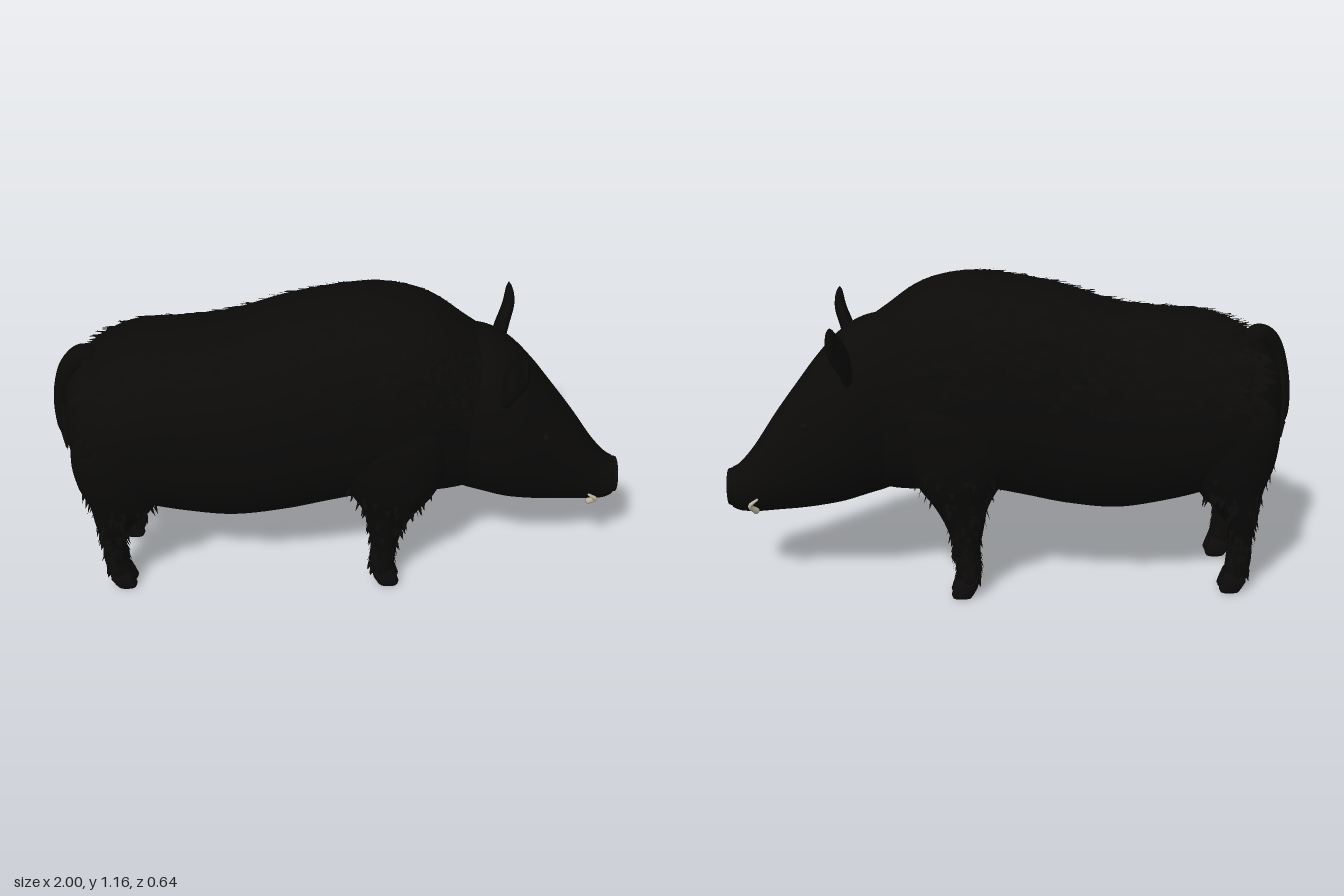
import * as THREE from 'three';

const V = (x, y, z) => new THREE.Vector3(x, y, z);
const fur = new THREE.MeshStandardMaterial({ color: 0x0b0a09 });
const furCards = new THREE.MeshStandardMaterial({ color: 0x0b0a09, side: THREE.DoubleSide });
const skin = new THREE.MeshStandardMaterial({ color: 0x0d0b0b });
const horn = new THREE.MeshStandardMaterial({ color: 0xc9c2ac });

let seed = 7;
const rand = () => (seed = (seed * 16807) % 2147483647) / 2147483647;

// Catmull-Rom sample of a table of rows, at f in 0..1
function sample(rows, f) {
  const k = f * (rows.length - 1), i = Math.min(Math.floor(k), rows.length - 2), t = k - i;
  const at = (j) => rows[Math.max(0, Math.min(rows.length - 1, j))];
  const [a, b, c, d] = [at(i - 1), at(i), at(i + 1), at(i + 2)];
  return b.map((_, n) => b[n] + 0.5 * t * (c[n] - a[n] + t * (2 * a[n] - 5 * b[n] + 4 * c[n] - d[n]
    + t * (3 * (b[n] - c[n]) + d[n] - a[n]))));
}

// point on a superellipse section { c, u, v }
function onSection({ c, u, v }, t, e) {
  const p = (w) => Math.sign(w) * Math.abs(w) ** (2 / e);
  return c.clone().addScaledVector(u, p(Math.cos(t))).addScaledVector(v, p(Math.sin(t)));
}

// closed skin through sections, u x v pointing along the path
function loft(sections, n = 24, e = 2) {
  const pos = [], idx = [], m = sections.length;
  for (const s of sections)
    for (let j = 0; j < n; j++) pos.push(...onSection(s, (j / n) * Math.PI * 2, e).toArray());
  for (let i = 0; i < m - 1; i++)
    for (let j = 0; j < n; j++) {
      const a = i * n + j, b = i * n + ((j + 1) % n);
      idx.push(a, b, a + n, b, b + n, a + n);
    }
  pos.push(...sections[0].c.toArray(), ...sections[m - 1].c.toArray());
  for (let j = 0; j < n; j++) {
    const k = (j + 1) % n, l = (m - 1) * n;
    idx.push(m * n, k, j, m * n + 1, l + j, l + k);
  }
  const g = new THREE.BufferGeometry();
  g.setAttribute('position', new THREE.Float32BufferAttribute(pos, 3));
  g.setIndex(idx);
  g.computeVertexNormals();
  return g;
}

// row [x, top, bottom, halfWidth] -> section across x
const trunkSection = ([x, top, bot, w]) => ({ c: V(x, (top + bot) / 2, 0), u: V(0, (top - bot) / 2, 0), v: V(0, 0, w) });
// row [y, x0, x1, z0, z1] -> level section of a leg on side s
const legSection = ([y, x0, x1, z0, z1], s) => ({
  c: V((x0 + x1) / 2, y, s * (z0 + z1) / 2), u: V((x1 - x0) / 2, 0, 0), v: V(0, 0, (z1 - z0) / 2),
});
const resample = (rows, n, fn) => Array.from({ length: n + 1 }, (_, i) => fn(sample(rows, i / n)));

// tapered tube through points; radius(f), flattened along the side direction
function horned(points, radius, side, flat = 1, n = 16) {
  const curve = new THREE.CatmullRomCurve3(points), out = [];
  for (let i = 0; i <= n; i++) {
    const d = curve.getTangent(i / n), r = radius(i / n);
    const u = side.clone().addScaledVector(d, -side.dot(d)).normalize();
    out.push({ c: curve.getPoint(i / n), u: u.clone().multiplyScalar(r * flat), v: d.clone().cross(u).multiplyScalar(r) });
  }
  return loft(out, 12);
}

// shaggy triangles from a function giving [root, outward normal]
function tufts(count, place, length, sweep) {
  const pos = [];
  for (let i = 0; i < count; i++) {
    const [p, nrm] = place();
    const across = nrm.clone().cross(sweep).normalize().multiplyScalar(length * (0.25 + 0.2 * rand()));
    const tip = p.clone().addScaledVector(sweep, length * (0.7 + 0.6 * rand())).addScaledVector(nrm, length * (0.2 + 0.2 * rand()));
    pos.push(...p.clone().add(across).toArray(), ...p.clone().sub(across).toArray(), ...tip.toArray());
  }
  const g = new THREE.BufferGeometry();
  g.setAttribute('position', new THREE.Float32BufferAttribute(pos, 3));
  g.computeVertexNormals();
  return g;
}

const BODY = [
  [-0.955, 0.76, 0.58, 0.07], [-0.94, 0.83, 0.52, 0.14], [-0.9, 0.89, 0.45, 0.215], [-0.82, 0.95, 0.41, 0.28],
  [-0.7, 1.0, 0.375, 0.303], [-0.55, 1.015, 0.335, 0.302], [-0.38, 1.04, 0.31, 0.3], [-0.2, 1.1, 0.33, 0.3],
  [-0.05, 1.135, 0.365, 0.298], [0.1, 1.155, 0.395, 0.29], [0.22, 1.145, 0.395, 0.275], [0.32, 1.11, 0.385, 0.245],
  [0.42, 1.04, 0.39, 0.208], [0.52, 0.97, 0.42, 0.18],
];
const HEAD = [
  [0.37, 1.0, 0.42, 0.17], [0.42, 1.02, 0.385, 0.2], [0.5, 1.005, 0.36, 0.212], [0.58, 0.955, 0.335, 0.21],
  [0.66, 0.87, 0.318, 0.188], [0.74, 0.765, 0.305, 0.155], [0.82, 0.655, 0.297, 0.125],
  [0.9, 0.535, 0.29, 0.097], [0.955, 0.47, 0.293, 0.08], [0.985, 0.45, 0.305, 0.068],
];
const FRONT_LEG = [
  [0.88, 0.1, 0.3, 0.15, 0.22], [0.74, -0.02, 0.35, 0.12, 0.28], [0.6, -0.06, 0.36, 0.1, 0.285], [0.47, 0.02, 0.33, 0.08, 0.268],
  [0.37, 0.072, 0.268, 0.083, 0.237], [0.28, 0.09, 0.225, 0.085, 0.215], [0.18, 0.105, 0.2, 0.092, 0.194], [0.1, 0.1, 0.192, 0.095, 0.19], [0.045, 0.11, 0.195, 0.1, 0.187],
];
const BACK_LEG = [
  [0.82, -0.84, -0.64, 0.16, 0.25], [0.68, -0.92, -0.56, 0.12, 0.293], [0.53, -0.92, -0.59, 0.09, 0.288], [0.41, -0.89, -0.66, 0.08, 0.262],
  [0.32, -0.882, -0.74, 0.085, 0.237], [0.22, -0.87, -0.783, 0.09, 0.208], [0.12, -0.872, -0.783, 0.095, 0.192], [0.045, -0.86, -0.775, 0.1, 0.187],
];

export function createModel() {
  const boar = new THREE.Group();
  const add = (name, geo, mat, parent = boar) => {
    const m = new THREE.Mesh(geo, mat);
    m.name = name;
    parent.add(m);
    return m;
  };

  // trunk and head
  add('body', loft(resample(BODY, 65, trunkSection), 48, 2.4), fur);
  add('head', loft(resample(HEAD, 45, trunkSection), 36, 2.15), fur);

  // shaggy coat over the back and shoulders
  add('backFur', tufts(900, () => {
    const s = trunkSection(sample(BODY, 0.2 + 0.74 * rand()));
    const t = (rand() * 2 - 1) * 1.5;
    const p = onSection(s, t, 2.4);
    return [p, V(0, Math.cos(t), Math.sin(t))];
  }, 0.045, V(-0.95, -0.3, 0).normalize()), furCards);

  // snout disc with nostrils
  const disc = add('snoutDisc', new THREE.CylinderGeometry(0.062, 0.068, 0.03, 28), skin);
  disc.rotation.z = -Math.PI / 2;
  disc.position.set(0.985, 0.38, 0);
  disc.scale.set(1.06, 1, 1);

  for (const s of [1, -1]) {
    // legs with two toes, dewclaws and a fringe of hair
    for (const [name, rows, x] of [['frontLeg', FRONT_LEG, 0.16], ['backLeg', BACK_LEG, -0.81]]) {
      const leg = new THREE.Group();
      leg.name = name;
      boar.add(leg);
      add('limb', loft(resample(rows, 36, (r) => legSection(r, s)), 24, 2.2), fur, leg);
      for (const z of [0.12, 0.166])
        add('hoof', loft([
          [0.075, x - 0.045, x + 0.03, z - 0.02, z + 0.02], [0.04, x - 0.045, x + 0.042, z - 0.024, z + 0.024],
          [0.012, x - 0.03, x + 0.05, z - 0.024, z + 0.024], [0, x - 0.022, x + 0.045, z - 0.02, z + 0.02],
        ].map((r) => legSection(r, s)), 16, 2.6), skin, leg);
      for (const z of [0.12, 0.166]) {
        const claw = add('dewclaw', new THREE.ConeGeometry(0.013, 0.045, 8), skin, leg);
        claw.position.set(x - 0.05, 0.06, s * z);
        claw.rotation.z = Math.PI - 0.25;
      }
      add('legFur', tufts(110, () => {
        const t = rand() * Math.PI * 2;
        return [onSection(legSection(sample(rows, 0.3 + 0.6 * rand()), s), t, 2.2), V(Math.cos(t), 0, Math.sin(t))];
      }, 0.03, V(0, -1, 0)), furCards, leg);
    }

    // upright leaf-shaped ears
    add('ear', horned([V(0.545, 0.85, s * 0.145), V(0.565, 0.92, s * 0.175), V(0.59, 0.985, s * 0.22), V(0.592, 1.04, s * 0.262)],
      (f) => 0.075 * Math.pow(1 - f, 0.65) * (0.75 + 0.9 * f) + 0.004, V(1, 0, 0), 0.38), fur);

    // tusks and eyes
    add('tusk', horned([V(0.885, 0.382, s * 0.12), V(0.913, 0.352, s * 0.108), V(0.897, 0.318, s * 0.08)],
      (f) => 0.004 + 0.008 * f, V(0, 0, 1)), horn);
    const eye = add('eye', new THREE.SphereGeometry(0.014, 16, 12), skin);
    eye.position.set(0.7, 0.67, s * 0.158);
  }

  // hanging tail with a tuft
  const tail = [V(-0.83, 0.87, 0), V(-0.875, 0.925, 0), V(-0.92, 0.895, 0.01), V(-0.96, 0.8, 0.01), V(-0.98, 0.68, 0), V(-0.975, 0.54, 0)];
  add('tail', horned(tail, (f) => (f < 0.35 ? 0.038 : 0.038 - 0.03 * (f - 0.35)) * Math.min(1, (1.02 - f) * 7), V(0, 0, 1), 1, 36), fur);
  add('tailFur', tufts(40, () => {
    const t = rand() * 6.28;
    return [V(-0.965 + 0.015 * Math.cos(t), 0.58 + 0.22 * rand(), 0.025 * Math.sin(t)), V(0.3 * Math.cos(t), 0, Math.sin(t))];
  }, 0.05, V(0, -1, 0)), furCards);
  return boar;
}
